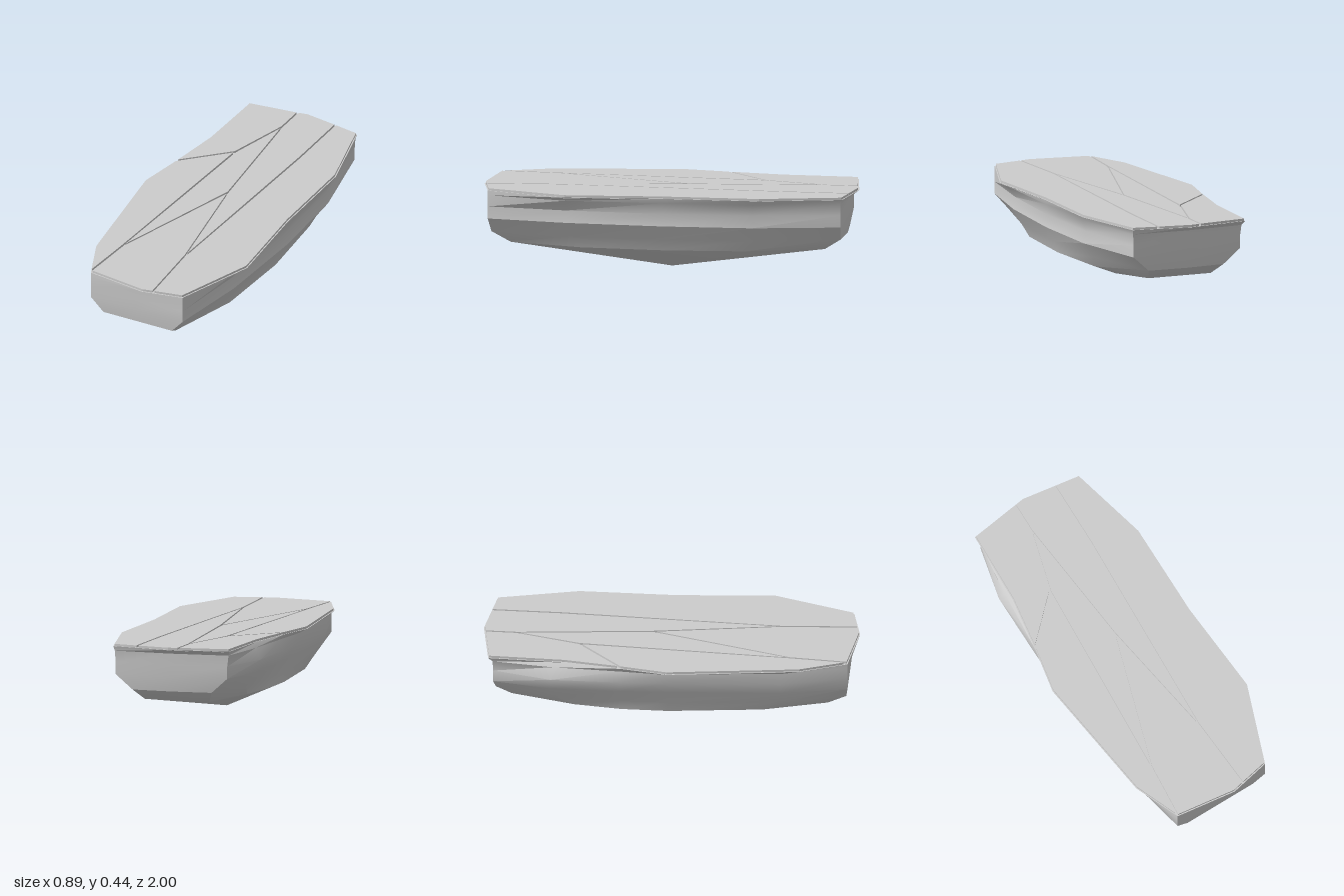
import * as THREE from 'three';
import { toCreasedNormals } from 'three/addons/utils/BufferGeometryUtils.js';

// Three outlines of the rock as [x, z], each starting at the front -x corner
// and running round +x and the back to the -x side.
const RIM = [[-0.27, 0.95], [0.06, 0.995], [0.28, 0.95], [0.44, 0.52], [0.41, 0], [0.42, -0.52], [0.32, -0.95],
  [0, -1], [-0.33, -0.955], [-0.35, -0.55], [-0.4, -0.25], [-0.45, 0], [-0.37, 0.7]];
const LEDGE = [[-0.27, 0.95], [0, 0.95], [0.28, 0.95], [0.36, 0.52], [0.4, 0], [0.395, -0.48], [0.31, -0.94],
  [0, -0.95], [-0.31, -0.93], [-0.37, -0.62], [-0.375, -0.25], [-0.37, 0], [-0.34, 0.6]];
const CHINE = [[-0.17, 0.84], [0, 0.84], [0.18, 0.84], [0.3, 0.45], [0.335, 0], [0.31, -0.43], [0.18, -0.84],
  [0, -0.84], [-0.18, -0.84], [-0.28, -0.5], [-0.315, -0.25], [-0.32, 0], [-0.27, 0.5]];

// Blend two outlines, with separate amounts across and along the rock
const blend = (a, b, tx, tz) => a.map(([x, z], i) => [
  THREE.MathUtils.lerp(x, b[i][0], tx), THREE.MathUtils.lerp(z, b[i][1], tz)]);

// Hollow the +x flank and swell the -x flank, keeping both ends flat
const bulge = (outline) => outline.map(([x, z]) => [
  Math.abs(z) > 0.9 ? x : x * (x > 0 ? 0.97 : 1.06), z]);

// Skin the outlines, closing the top with a flat fan and the bottom at a point
function hullGeometry() {
  const rings = [
    [0.43, RIM],
    [0.405, blend(RIM, LEDGE, 0.6, 0.9)],
    [0.345, bulge(LEDGE)],
    [0.28, LEDGE],
    [0.2, blend(LEDGE, CHINE, 0.7, 0.1)],
    [0.14, CHINE],
  ];
  const n = RIM.length;
  const pos = [], index = [];
  for (const [y, outline] of rings) for (const [x, z] of outline) pos.push(x, y, z);
  pos.push(0, 0.43, 0, 0, 0, 0);
  const top = n * rings.length, keel = top + 1, last = top - n;
  for (let i = 0; i < n; i++) {
    const j = (i + 1) % n;
    index.push(top, i, j, keel, last + j, last + i);
    for (let r = 0; r < last; r += n) {
      const a = r + i, b = r + j;
      index.push(a, a + n, b, b, a + n, b + n);
    }
  }
  const g = new THREE.BufferGeometry();
  g.setAttribute('position', new THREE.Float32BufferAttribute(pos, 3));
  g.setIndex(index);
  return toCreasedNormals(g, 0.6);
}

// Deck slabs: pieces of the rim joined along shared crack corners
function slabOutlines() {
  const backCrack = [-0.055, -0.99], backFork = [-0.06, -0.82], sideFork = [-0.16, -0.48];
  const centre = [0, -0.1], frontFork = [-0.24, 0.64], frontBend = [0.1, 0.57], frontCrack = [0.12, 0.982];
  const leftCrack = [0.18, -0.973], leftBend = [0.17, -0.6];
  return {
    backRightSlab: [backCrack, backFork, sideFork, RIM[10], RIM[9], RIM[8]],
    rightSlab: [RIM[10], sideFork, frontFork, RIM[0], RIM[12], RIM[11]],
    middleSlab: [backFork, centre, frontFork, sideFork],
    frontSlab: [centre, frontBend, frontCrack, RIM[1], RIM[0], frontFork],
    backSlab: [backCrack, RIM[7], leftCrack, leftBend, frontBend, centre, backFork],
    leftSlab: [leftCrack, RIM[6], RIM[5], RIM[4], RIM[3], RIM[2], frontCrack, frontBend, leftBend],
  };
}

// Move every edge of a polygon inwards by d, limiting long mitres
function inset(points, d) {
  let v = points.map(([x, z]) => new THREE.Vector2(x, -z));
  if (THREE.ShapeUtils.isClockWise(v)) v = v.reverse();
  return v.map((p, i) => {
    const before = p.clone().sub(v[(i + v.length - 1) % v.length]).normalize();
    const after = v[(i + 1) % v.length].clone().sub(p).normalize();
    const n1 = new THREE.Vector2(-before.y, before.x);
    const n2 = new THREE.Vector2(-after.y, after.x);
    const m = n1.clone().add(n2).normalize();
    return p.clone().addScaledVector(m, d / Math.max(m.dot(n1), 0.3));
  });
}

export function createModel() {
  const group = new THREE.Group();
  const material = new THREE.MeshStandardMaterial({ color: 0xcccccc });

  const hull = new THREE.Mesh(hullGeometry(), material);
  hull.name = 'rockHull';
  group.add(hull);

  // Deck slabs, with narrow cracks left between them
  for (const [name, points] of Object.entries(slabOutlines())) {
    const g = new THREE.ExtrudeGeometry(new THREE.Shape(inset(points, 0.006)), { depth: 0.017, bevelEnabled: false });
    g.rotateX(-Math.PI / 2);
    const slab = new THREE.Mesh(g, material);
    slab.name = name;
    slab.position.y = 0.425;
    group.add(slab);
  }
  return group;
}
